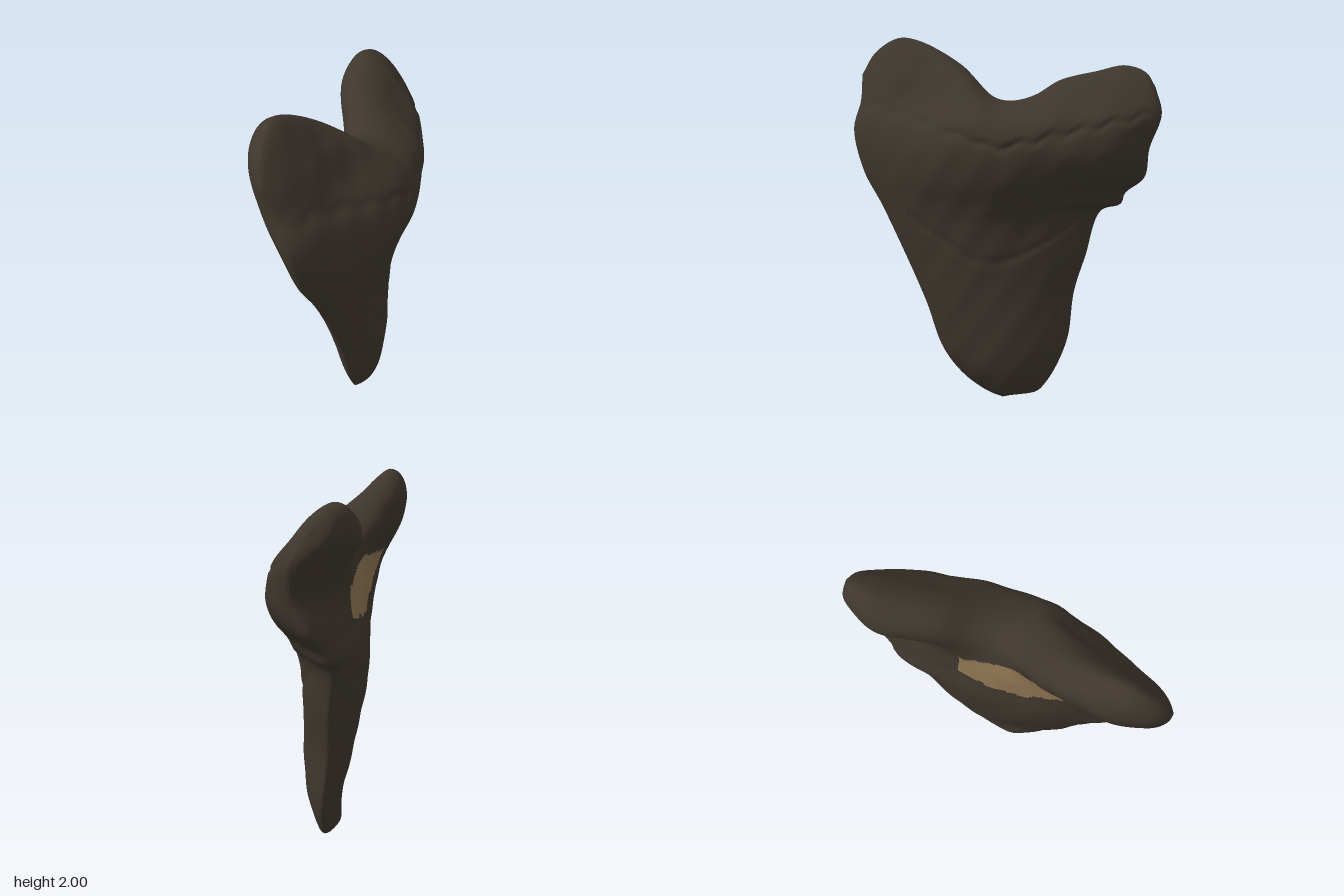
import * as THREE from 'three';
import { mergeVertices, toCreasedNormals } from 'three/addons/utils/BufferGeometryUtils.js';

const N = 130; // grid cells across and up the tooth
const { smoothstep, lerp } = THREE.MathUtils;
const curve = (pts) => new THREE.CatmullRomCurve3(pts.map(([z, y]) => new THREE.Vector3(0, y, z)), false, 'centripetal');

// Outline, as [z, y] points: two side edges from the tip up, and the two-lobed top
const sideA = curve([[0, 0], [0.08, 0.035], [0.2, 0.125], [0.33, 0.3], [0.42, 0.55], [0.53, 0.8], [0.67, 1.08],
  [0.78, 1.27], [0.84, 1.5], [0.815, 1.65], [0.82, 1.8]]);
const sideB = curve([[-0.08, 0.025], [-0.19, 0.04], [-0.24, 0.09], [-0.3, 0.19], [-0.36, 0.35], [-0.39, 0.6],
  [-0.45, 0.8], [-0.53, 1.05], [-0.64, 1.09], [-0.66, 1.15], [-0.76, 1.24], [-0.78, 1.4], [-0.84, 1.58], [-0.81, 1.72]]);
const topEdge = curve([[0.82, 1.8], [0.75, 1.92], [0.62, 2], [0.5, 1.985], [0.25, 1.85], [0.05, 1.67], [-0.05, 1.65],
  [-0.17, 1.68], [-0.3, 1.76], [-0.5, 1.81], [-0.65, 1.84], [-0.76, 1.8], [-0.81, 1.72]]);

// Smooth curve through [key, value] pairs
function table(pairs) {
  const slope = pairs.map((_, i) => {
    const [a, va] = pairs[Math.max(0, i - 1)], [b, vb] = pairs[Math.min(pairs.length - 1, i + 1)];
    return (vb - va) / (b - a);
  });
  return (key) => {
    const last = pairs.length - 1;
    const k = Math.min(pairs[last][0], Math.max(pairs[0][0], key));
    let i = 0;
    while (i < last - 1 && k > pairs[i + 1][0]) i++;
    const [a, va] = pairs[i], [b, vb] = pairs[i + 1], h = b - a, u = (k - a) / h;
    const w = u * u * (3 - 2 * u);
    return va * (1 - w) + vb * w + h * u * (1 - u) * (slope[i] * (1 - u) - slope[i + 1] * u);
  };
}

// By height: x of each side edge, and the swelling to each side of the plane between them
const edgeA = table([[0, 0], [0.2, 0.05], [0.4, 0.05], [0.8, 0.04], [1.1, 0.01], [1.3, -0.02], [1.5, -0.05],
  [1.7, -0.13], [1.85, -0.18], [2, -0.21]]);
const edgeB = table([[0, 0], [0.2, -0.02], [0.4, -0.05], [0.8, -0.09], [1.1, -0.12], [1.25, -0.06], [1.4, 0],
  [1.55, -0.01], [1.7, -0.09], [1.84, -0.17]]);
const bulge = table([[0, 0.05], [0.2, 0.11], [0.4, 0.15], [0.8, 0.2], [1, 0.245], [1.2, 0.31], [1.36, 0.315],
  [1.5, 0.26], [1.65, 0.18], [1.8, 0.175], [1.9, 0.15], [2, 0.12]]);
const hollow = table([[0, 0.05], [0.2, 0.07], [0.4, 0.1], [0.8, 0.15], [1, 0.14], [1.2, 0.13], [1.4, 0.15],
  [1.6, 0.18], [1.8, 0.18], [2, 0.18]]);

// By z: height of the root crest and of the crown border on the bulging face
const crestY = table([[-0.75, 1.57], [-0.3, 1.47], [0, 1.41], [0.1, 1.44], [0.35, 1.52], [0.7, 1.63]]);
const crownY = table([[-0.4, 1], [-0.2, 0.88], [0, 0.8], [0.15, 0.82], [0.3, 0.92], [0.5, 1.05]]);
const bell = (d, w) => Math.exp(-(d * d) / (w * w));

// Worn stone roughness
const rough = (z, y) => 0.003 * (Math.sin(13 * z + 7 * y) + Math.sin(9 * y - 17 * z + 2) + 0.6 * Math.sin(31 * z + 23 * y));

// Pale chipped patch, as [z, y] corners
const patch = [[-0.23, 1.25], [-0.23, 1.41], [0.1, 1.54], [0.41, 1.55], [0.35, 1.44], [0.13, 1.23]];
function inPatch(z, y) {
  let inside = false;
  patch.forEach(([za, ya], i) => {
    const [zb, yb] = patch[(i + 1) % patch.length];
    if ((ya > y) !== (yb > y) && z < za + (zb - za) * (y - ya) / (yb - ya)) inside = !inside;
  });
  return inside;
}

// One point of the bulging (side 1) or hollow (side -1) face
function facePoint(row, s, t, top, side) {
  const p = row.a.clone().lerp(row.b, s);
  const base = row.endA.clone().lerp(row.endB, s);
  p.addScaledVector(top.clone().sub(base), t ** 4);
  const { y, z } = p;
  const across = Math.max(0, 1 - (2 * s - 1) ** 2);
  const upper = t > 0.84 ? Math.sqrt(Math.max(0, 1 - ((t - 0.84) / 0.16) ** 3)) : 1;
  const lower = Math.sqrt(Math.min(1, t / 0.06));
  const blade = 1 - smoothstep(y, 0.9, 1.3);
  const lobes = smoothstep(y, 1.4, 1.8);
  const rim = lerp(edgeA(y), edgeB(y), s) + 0.08 * bell(z, 0.3) * smoothstep(y, 1.35, 1.65);
  const power = side > 0 ? 0.85 - 0.15 * blade - 0.35 * lobes : 0.4 + 0.22 * blade - 0.05 * lobes;
  const round = across ** power * upper * lower;
  // the short lobe is a fuller bulb on both faces
  const bulb = bell(z + 0.6, 0.22) * (side > 0 ? 0.06 * bell(y - 1.45, 0.25) : 0.09 * bell(y - 1.68, 0.2));
  let depth = ((side > 0 ? bulge(y) : hollow(y)) + bulb) * round;
  if (side > 0) {
    const fade = Math.min(1, across * 2.5);
    depth -= fade * 0.014 * bell(y - crestY(z) - 0.012 * Math.sin(40 * z), 0.018);
    if (z < 0.5 && z > -0.42) depth -= fade * 0.009 * bell(y - crownY(z), 0.018);
  }
  depth += rough(z, y) * Math.min(1, round * 1.5);
  p.x = rim + side * Math.max(0, depth);
  return p;
}

function toothGeometry() {
  const ease = (i) => (1 - Math.cos(Math.PI * i / N)) / 2;
  const endA = sideA.getPointAt(1), endB = sideB.getPointAt(1);
  const tops = Array.from({ length: N + 1 }, (_, i) => topEdge.getPointAt(ease(i)));
  const points = [], body = [], chip = [];
  for (const side of [1, -1]) {
    const start = points.length;
    for (let j = 0; j <= N; j++) {
      const t = ease(j);
      const row = { a: sideA.getPointAt(t), b: sideB.getPointAt(t), endA, endB };
      for (let i = 0; i <= N; i++) points.push(facePoint(row, ease(i), t, tops[i], side));
    }
    for (let j = 0; j < N; j++) {
      for (let i = 0; i < N; i++) {
        const a = start + j * (N + 1) + i, b = a + 1, d = a + N + 1, c = d + 1;
        const mid = points[a].clone().add(points[c]).multiplyScalar(0.5);
        const list = side < 0 && inPatch(mid.z, mid.y) ? chip : body;
        if (side > 0) list.push(a, b, c, a, c, d);
        else list.push(a, c, b, a, d, c);
      }
    }
  }
  let geo = new THREE.BufferGeometry().setFromPoints(points);
  geo.setIndex([...body, ...chip]);
  geo = toCreasedNormals(mergeVertices(geo, 1e-5), 0.9);
  geo.clearGroups();
  geo.addGroup(0, body.length, 0);
  geo.addGroup(body.length, chip.length, 1);
  return geo;
}

export function createModel() {
  const stone = new THREE.MeshStandardMaterial({ color: 0x3f372e });
  stone.name = 'dark brown stone';
  const pale = new THREE.MeshStandardMaterial({ color: 0x8f7553 });
  pale.name = 'pale chipped stone';
  const tooth = new THREE.Mesh(toothGeometry(), [stone, pale]);
  tooth.name = 'fossilTooth';
  const group = new THREE.Group();
  group.name = 'fossil';
  group.add(tooth);
  return group;
}
